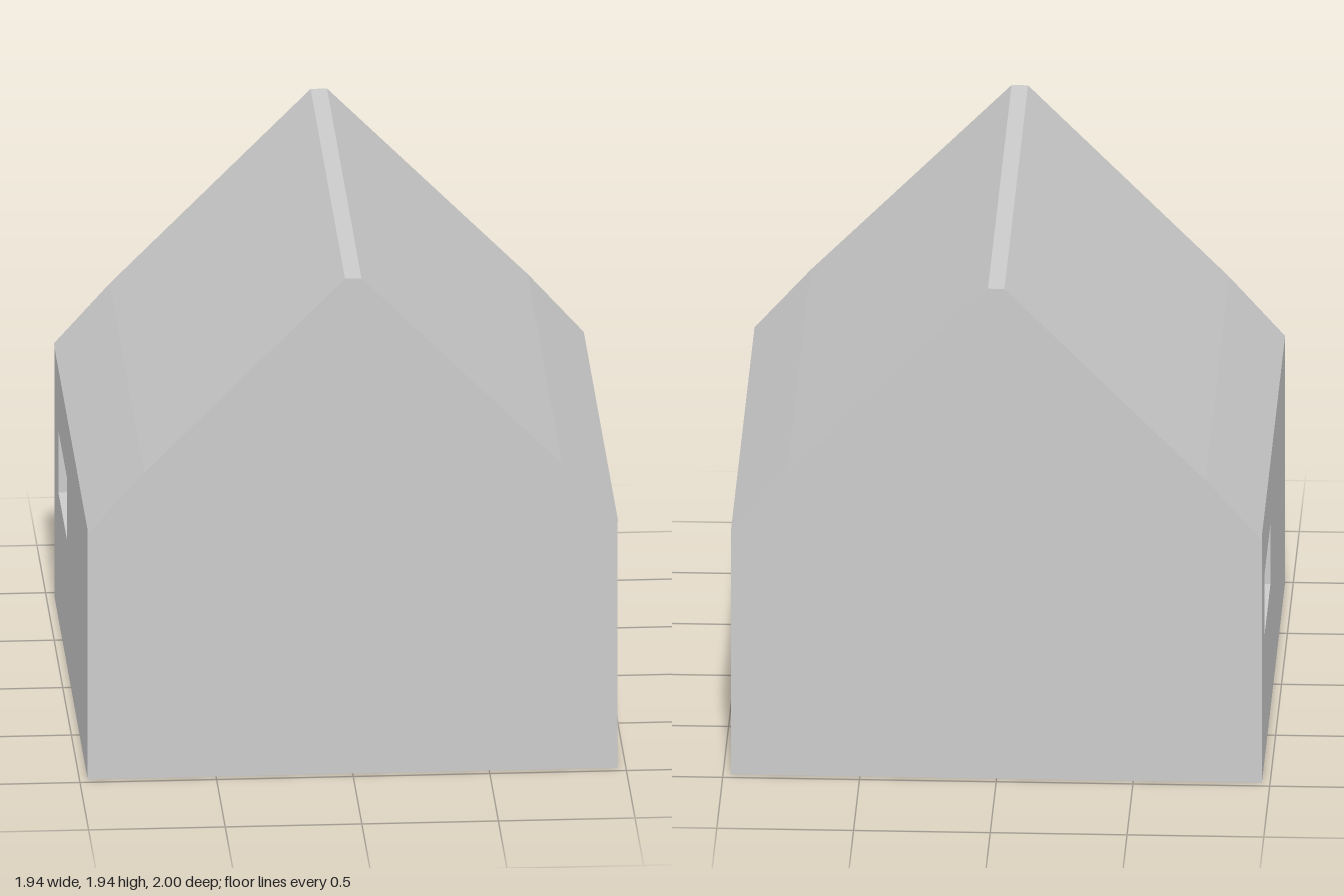
import * as THREE from 'three';

const HALF = 0.97;       // half width and half depth of the walls
const EAVE = 0.97;       // wall height
const WALL = 0.035;      // depth of the window recess
const ROOF_HALF = 1.0;   // half length of the roof

const toShape = (points) => new THREE.Shape(points.map(([x, y]) => new THREE.Vector2(x, y)));
const mirrorX = (points) => points.map(([x, y]) => [-x, y]).reverse();

function extrude(shape, depth) {
  return new THREE.ExtrudeGeometry(shape, { depth, bevelEnabled: false });
}

export function createModel() {
  const group = new THREE.Group();
  const material = new THREE.MeshStandardMaterial({ color: 0xcccccc, flatShading: true });
  const add = (name, geometry, x, y, z) => {
    const mesh = new THREE.Mesh(geometry, material);
    mesh.name = name;
    mesh.position.set(x, y, z);
    group.add(mesh);
  };

  // Underside of the roof on the +x side, from the eave up to the ridge
  const under = [[0.94, EAVE], [0.735, 1.2], [0, 1.935]];
  // Upper surface, from the flat ridge down to the eave with its flatter kick
  const outer = [[0.03, 1.94], [0.765, 1.2], [HALF, EAVE]];

  // Solid house body with both gables
  const core = HALF - WALL;
  const rightHalf = [[core, 0], [core, EAVE], ...under.slice(1)];
  const body = [...rightHalf, ...mirrorX(rightHalf.filter(([x]) => x > 0))];
  add('houseBody', extrude(toShape(body), 2 * HALF), 0, 0, -HALF);

  // Side walls, each with a recessed window
  const wall = toShape([[-HALF, 0], [HALF, 0], [HALF, EAVE], [-HALF, EAVE]]);
  wall.holes.push(new THREE.Path([[0.24, 0.49], [0.24, 0.73], [0.73, 0.73], [0.73, 0.49]]
    .map(([x, y]) => new THREE.Vector2(x, y))));
  const wallGeometry = extrude(wall, WALL).rotateY(Math.PI / 2);
  add('leftWall', wallGeometry, core, 0, 0);
  add('rightWall', wallGeometry, -HALF, 0, 0);

  // Thin roof shell, overhanging both gables
  const roof = [...under, ...mirrorX(under.slice(0, 2)), ...mirrorX(outer), ...outer];
  add('roof', extrude(toShape(roof), 2 * ROOF_HALF), 0, 0, -ROOF_HALF);

  return group;
}
